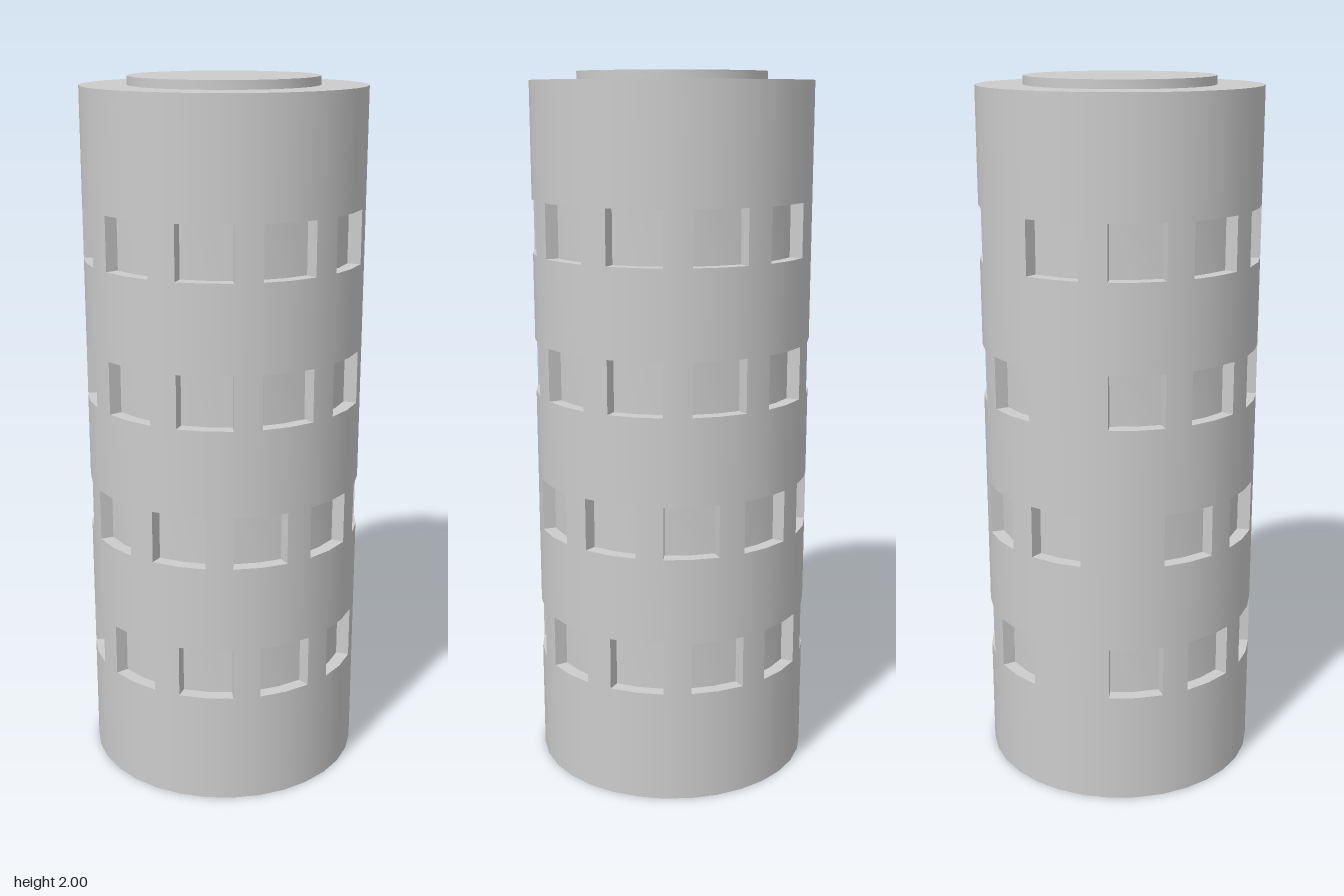
import * as THREE from 'three';
import { mergeGeometries, toCreasedNormals } from 'three/addons/utils/BufferGeometryUtils.js';

const SIDES = 32, STEP = (Math.PI * 2) / SIDES;
const R = 0.394, FLOOR_R = 0.357, CAP_R = 0.264, BODY_H = 1.976, TOP = 2;
const WINDOW_H = 0.149, ROW_Y = 0.321, ROW_GAP = 0.395;
const WINDOWS = 10, PITCH = 3, WIDTH = 2;
// first window of each row, counted in sides from the front towards +x
const ROW_STARTS = [-6, -4, -6, -9];

const material = new THREE.MeshStandardMaterial({ color: 0xcccccc });

// outer wall patch covering `count` sides
function wall(y0, y1, start = 0, count = SIDES) {
  return new THREE.CylinderGeometry(R, R, y1 - y0, count, 1, true, start * STEP, count * STEP)
    .translate(0, (y0 + y1) / 2, 0);
}

// turned surface from [radius, height] pairs
function turned(points, start = 0, count = SIDES) {
  const profile = points.map(([x, y]) => new THREE.Vector2(x, y));
  return toCreasedNormals(new THREE.LatheGeometry(profile, count, start * STEP, count * STEP), 0.5);
}

// radial side face of a window
function jamb(y0, y1, side, flip) {
  const face = new THREE.PlaneGeometry(R - FLOOR_R, y1 - y0);
  if (flip) face.rotateY(Math.PI);
  return face.translate((R + FLOOR_R) / 2, (y0 + y1) / 2, 0)
    .rotateY(side * STEP - Math.PI / 2).toNonIndexed();
}

// recessed window: sill, floor, lintel and two jambs
function recess(y0, y1, start) {
  return mergeGeometries([
    turned([[R, y0], [FLOOR_R, y0], [FLOOR_R, y1], [R, y1]], start, WIDTH),
    jamb(y0, y1, start, true),
    jamb(y0, y1, start + WIDTH, false),
  ]);
}

export function createModel() {
  const model = new THREE.Group();
  model.name = 'windowedCylinder';
  const add = (name, geometry, parent = model) => {
    const mesh = new THREE.Mesh(geometry, material);
    mesh.name = name;
    parent.add(mesh);
  };

  // plain bands and rows of windows, from the bottom up
  const walls = [];
  let y = 0;
  ROW_STARTS.forEach((first, row) => {
    const y0 = ROW_Y + row * ROW_GAP, y1 = y0 + WINDOW_H;
    walls.push(wall(y, y0));
    const group = new THREE.Group();
    group.name = `windowRow${row + 1}`;
    model.add(group);
    for (let i = 0; i < WINDOWS; i++) {
      const start = first + i * PITCH;
      add('window', recess(y0, y1, start), group);
      // pillar up to the next window; the last one is wider
      const next = i < WINDOWS - 1 ? start + PITCH : first + SIDES;
      walls.push(wall(y0, y1, start + WIDTH, next - start - WIDTH));
    }
    y = y1;
  });
  walls.push(wall(y, BODY_H));
  add('outerWall', mergeGeometries(walls));

  // flat base, and shoulder with raised disc on top
  add('base', turned([[0, 0], [R, 0]]));
  add('topCap', turned([[R, BODY_H], [CAP_R, BODY_H], [CAP_R, TOP], [0, TOP]]));
  return model;
}
